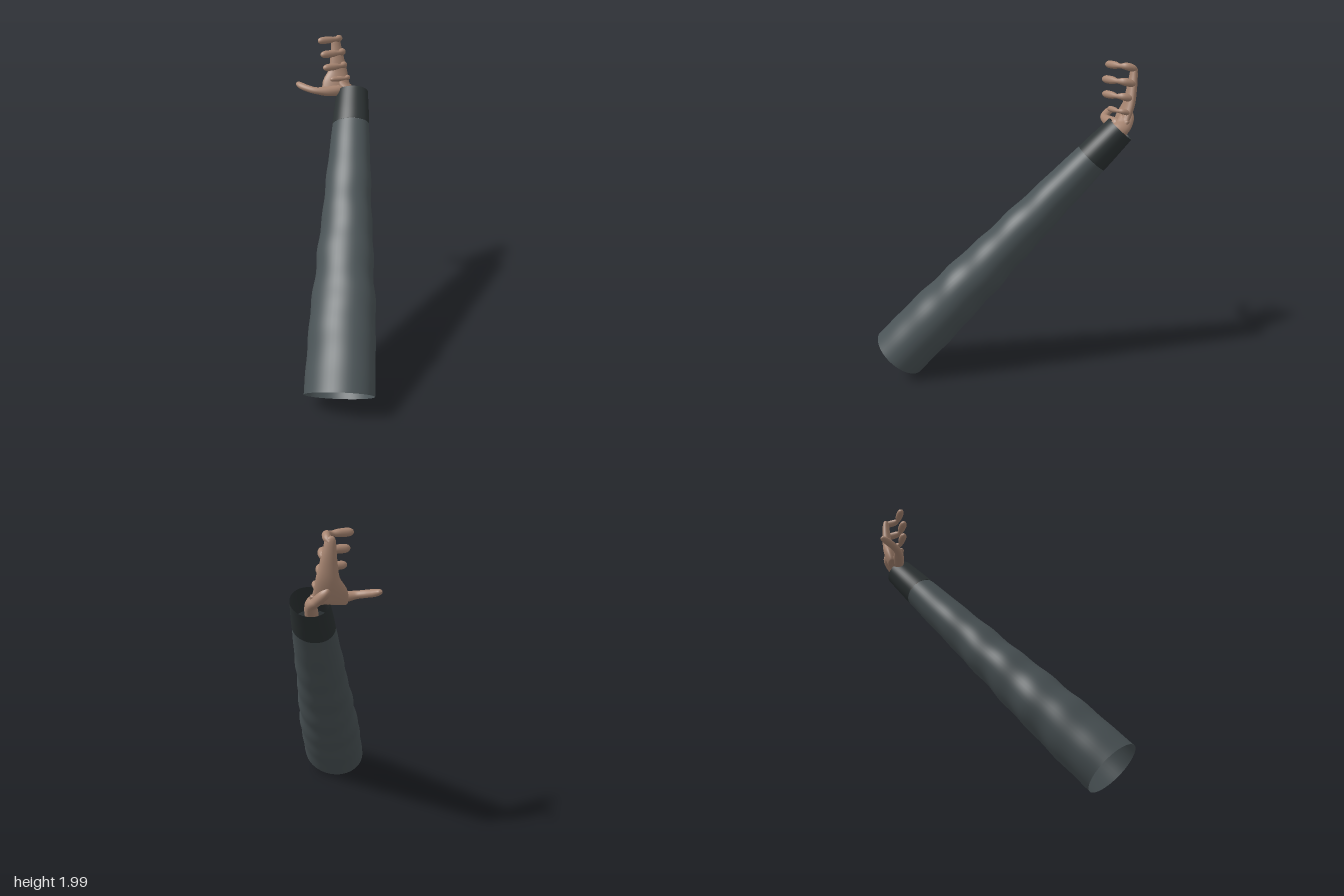
import * as THREE from 'three';

const V = (x, y, z) => new THREE.Vector3(x, y, z);

// Smooth loft through sections [x, y, z, halfWidth, halfThickness]; `wide` is the width direction
function loft(sections, wide, rows, sides, ripple = () => 1) {
  const path = new THREE.CatmullRomCurve3(sections.map(s => V(s[0], s[1], s[2])), false, 'catmullrom');
  const size = new THREE.CatmullRomCurve3(sections.map(s => V(s[3], s[4], 0)), false, 'catmullrom');
  const pos = [], index = [];
  for (let i = 0; i <= rows; i++) {
    const t = i / rows, c = path.getPoint(t), r = size.getPoint(t), T = path.getTangent(t);
    const w = wide.clone().addScaledVector(T, -wide.dot(T)).normalize();
    const n = T.clone().cross(w);
    for (let j = 0; j < sides; j++) {
      const a = j / sides * Math.PI * 2, k = ripple(t, a);
      const p = c.clone().addScaledVector(w, Math.cos(a) * r.x * k).addScaledVector(n, Math.sin(a) * r.y * k);
      pos.push(p.x, p.y, p.z);
      if (i < rows) {
        const b = i * sides + j, d = i * sides + (j + 1) % sides;
        index.push(b, d, d + sides, b, d + sides, b + sides);
      }
    }
  }
  const g = new THREE.BufferGeometry();
  g.setAttribute('position', new THREE.Float32BufferAttribute(pos, 3));
  g.setIndex(index);
  g.computeVertexNormals();
  return g;
}

export function createModel() {
  const model = new THREE.Group();
  const cloth = new THREE.MeshStandardMaterial({ color: 0x4a5356, side: THREE.DoubleSide });
  const cuffCloth = new THREE.MeshStandardMaterial({ color: 0x2d3334, side: THREE.DoubleSide });
  const skin = new THREE.MeshStandardMaterial({ color: 0xa88672, side: THREE.DoubleSide });
  const add = (parent, name, geometry, material) => {
    const m = new THREE.Mesh(geometry, material);
    m.name = name;
    parent.add(m);
  };

  // Sleeve and cuff: one slanting, slightly flattened open tube
  const low = V(0.34, 0.137, 0.593), high = V(-0.215, 1.62, -0.66);
  const section = (t, r) => {
    const p = low.clone().lerp(high, t);
    return [p.x, p.y, p.z, r, r * 0.84];
  };
  const across = V(1, 0, 0);
  const folds = (t, a) => 1 + Math.sin(Math.PI * t) *
    (0.022 * Math.sin(t * 42 + 1.5 * Math.sin(a)) + 0.014 * Math.sin(t * 25 + 2 * a));
  add(model, 'sleeve', loft([
    section(0, 0.217), section(0.125, 0.213), section(0.25, 0.204), section(0.375, 0.188),
    section(0.5, 0.171), section(0.625, 0.155), section(0.75, 0.141), section(0.88, 0.124),
  ], across, 90, 48, folds), cloth);
  add(model, 'cuff', loft([
    section(0.88, 0.125), section(0.92, 0.121), section(0.96, 0.115), section(1, 0.109),
  ], across, 12, 48), cuffCloth);

  const hand = new THREE.Group();
  hand.name = 'hand';
  model.add(hand);

  // Wrist rising out of the cuff
  add(hand, 'wrist', loft([
    [-0.165, 1.49, -0.555, 0.001, 0.001], [-0.175, 1.51, -0.57, 0.045, 0.035], [-0.215, 1.6, -0.645, 0.05, 0.034],
    [-0.265, 1.64, -0.665, 0.05, 0.032], [-0.32, 1.69, -0.67, 0.04, 0.03], [-0.34, 1.73, -0.675, 0.001, 0.001],
  ], V(0.5, 0, 0.87), 30, 20), skin);

  // Palm standing upright, broad at the thumb and narrow at the top knuckle
  add(hand, 'palm', loft([
    [-0.31, 1.61, -0.63, 0.001, 0.001], [-0.31, 1.625, -0.63, 0.095, 0.028], [-0.325, 1.67, -0.64, 0.095, 0.034],
    [-0.33, 1.75, -0.67, 0.065, 0.033], [-0.34, 1.83, -0.68, 0.048, 0.03], [-0.35, 1.91, -0.685, 0.035, 0.025],
    [-0.355, 1.965, -0.685, 0.025, 0.018], [-0.355, 1.98, -0.685, 0.001, 0.001],
  ], V(-0.82, 0, 0.57), 40, 24), skin);

  // Four curled fingers, pinched at the joints: [height, sideways shift, scale]
  const fingers = [[1.977, 0, 1], [1.89, 0.025, 1.05], [1.803, 0.038, 1], [1.72, 0.065, 0.75]];
  const bends = [
    [-0.36, -0.03, -0.7, 0.012], [-0.335, -0.012, -0.685, 0.021], [-0.312, 0, -0.65, 0.022],
    [-0.315, 0, -0.61, 0.014], [-0.34, 0, -0.575, 0.022], [-0.37, 0, -0.53, 0.023],
    [-0.383, 0, -0.508, 0.015], [-0.388, 0, -0.5, 0.001],
  ];
  fingers.forEach(([y, shift, s], i) => {
    add(hand, 'finger' + (i + 1), loft(bends.map(([x, dy, z, r]) =>
      [x + shift, y + dy, -0.68 + (z + 0.68) * s, r * s, r * s]), V(0, 1, 0), 32, 14), skin);
  });

  // Thumb sweeping out sideways
  add(hand, 'thumb', loft([
    [-0.25, 1.64, -0.64, 0.001, 0.001], [-0.28, 1.638, -0.615, 0.032, 0.032], [-0.34, 1.637, -0.55, 0.033, 0.036],
    [-0.4, 1.645, -0.5, 0.023, 0.026], [-0.455, 1.655, -0.487, 0.022, 0.025], [-0.51, 1.667, -0.49, 0.021, 0.026],
    [-0.545, 1.678, -0.5, 0.014, 0.018], [-0.555, 1.681, -0.503, 0.001, 0.001],
  ], V(0, 1, 0), 36, 16), skin);

  return model;
}
